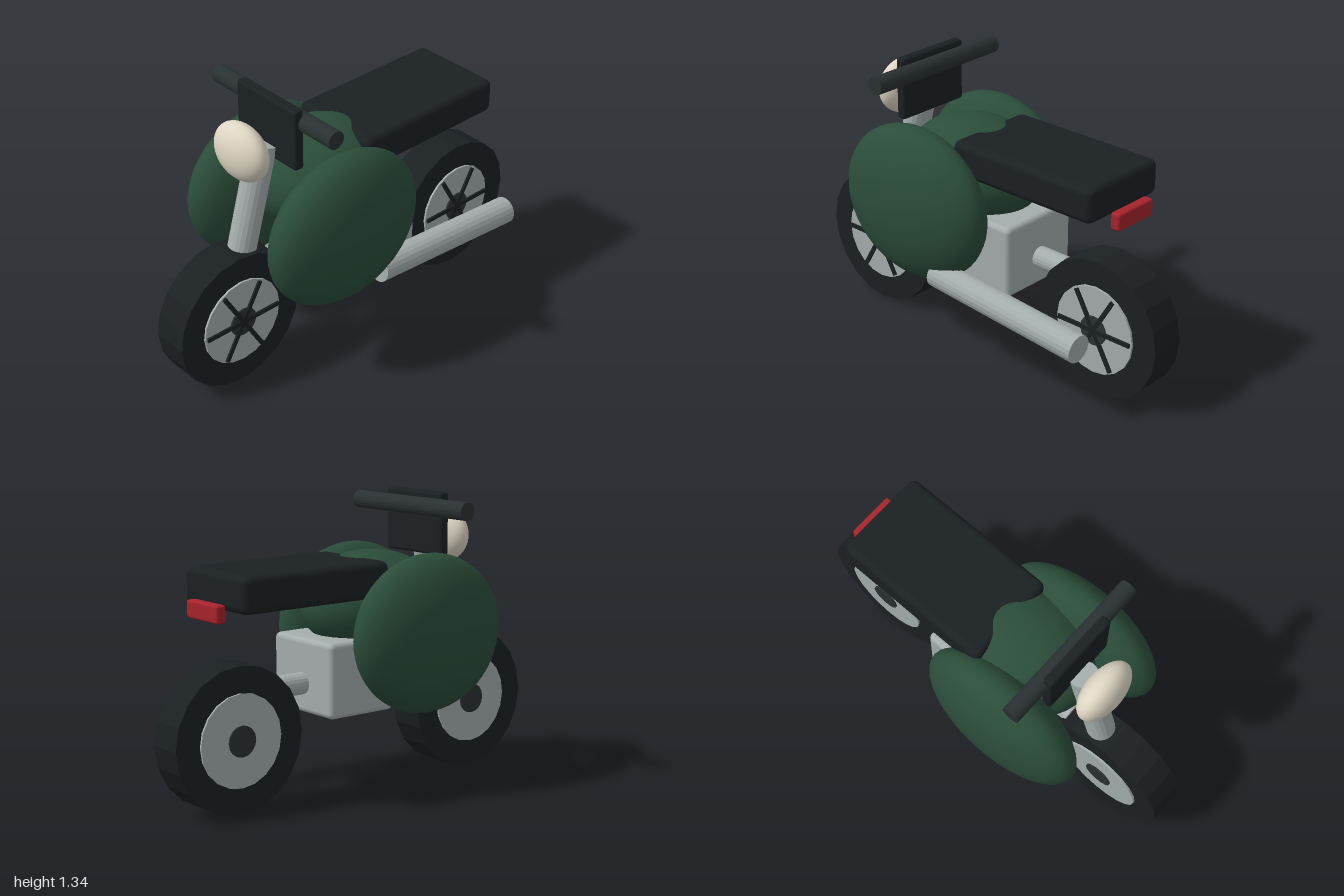
import * as THREE from 'three';
import { RoundedBoxGeometry } from 'three/addons/geometries/RoundedBoxGeometry.js';

const mat = (color, flatShading = false) => new THREE.MeshStandardMaterial({ color, flatShading });

export function createModel() {
  const model = new THREE.Group();
  model.name = 'motorcycle';

  const green = mat(0x2b4d3a);
  const black = mat(0x1b2023);
  const rubber = mat(0x1b2023, true);
  const dark = mat(0x2a3132, true);
  const metal = mat(0xa5adad, true);
  const block = mat(0xa5adad);
  const cream = mat(0xded6c4);
  const red = mat(0xa8232c);

  const add = (name, geometry, material, x = 0, y = 0, z = 0, parent = model) => {
    const mesh = new THREE.Mesh(geometry, material);
    mesh.name = name;
    mesh.position.set(x, y, z);
    parent.add(mesh);
    return mesh;
  };

  const ellipsoid = (name, material, [x, y, z], [rx, ry, rz]) =>
    add(name, new THREE.SphereGeometry(1, 40, 28).scale(rx, ry, rz), material, x, y, z);

  const roundedBox = (name, material, [x, y, z], [w, h, d], r) =>
    add(name, new RoundedBoxGeometry(w, h, d, 3, r), material, x, y, z);

  // Straight round bar between two points
  const bar = (name, material, from, to, radius, sides = 20) => {
    const a = new THREE.Vector3(...from), b = new THREE.Vector3(...to);
    const dir = b.clone().sub(a);
    const mesh = add(name, new THREE.CylinderGeometry(radius, radius, dir.length(), sides), material);
    mesh.position.copy(a).add(b).multiplyScalar(0.5);
    mesh.quaternion.setFromUnitVectors(new THREE.Vector3(0, 1, 0), dir.normalize());
    return mesh;
  };

  // Disc lying across the x axis
  const disc = (r, width, sides) => new THREE.CylinderGeometry(r, r, width, sides).rotateZ(Math.PI / 2);

  // Wheels: tyre, rim disc, hub, and spokes on the left face
  for (const [name, z] of [['frontWheel', 0.67], ['rearWheel', -0.67]]) {
    const wheel = new THREE.Group();
    wheel.name = name;
    wheel.position.set(0, 0.33, z);
    add('tyre', disc(0.33, 0.17, 20), rubber, 0, 0, 0, wheel);
    add('rim', disc(0.21, 0.19, 20), metal, 0, 0, 0, wheel);
    add('hub', disc(0.07, 0.205, 16), dark, 0, 0, 0, wheel);
    for (let i = 0; i < 3; i++) {
      const spokes = add('spokePair', new THREE.BoxGeometry(0.02, 0.02, 0.4), black, 0.095, 0, 0, wheel);
      spokes.rotation.x = (i * Math.PI) / 3;
    }
    model.add(wheel);
  }

  // Tank with a large fairing bulge on each side
  ellipsoid('tank', green, [0, 0.85, 0.12], [0.28, 0.235, 0.348]);
  for (const side of [-1, 1])
    ellipsoid(side > 0 ? 'leftFairing' : 'rightFairing', green, [side * 0.273, 0.723, 0.233], [0.165, 0.363, 0.412]);

  // Seat and tail light
  roundedBox('seat', black, [0, 0.98, -0.345], [0.46, 0.165, 0.79], 0.035);
  roundedBox('tailLight', red, [0, 0.895, -0.78], [0.23, 0.08, 0.05], 0.012);

  // Engine, frame tube and exhaust
  roundedBox('engine', block, [0, 0.55, -0.092], [0.42, 0.34, 0.36], 0.025);
  bar('frameTube', metal, [0, 0.52, 0.42], [0, 0.515, -0.43], 0.05);
  bar('exhaust', metal, [0.318, 0.437, 0.065], [0.318, 0.37, -0.77], 0.065);

  // Fork, headlight, dash panel and handlebar
  bar('fork', metal, [0, 0.4, 0.65], [0, 1.12, 0.45], 0.065);
  ellipsoid('headlight', cream, [0, 1.125, 0.565], [0.155, 0.133, 0.082]);
  roundedBox('dashPanel', black, [0, 1.195, 0.405], [0.38, 0.29, 0.05], 0.014);
  bar('handlebar', dark, [-0.378, 1.27, 0.37], [0.378, 1.27, 0.37], 0.042);

  return model;
}
